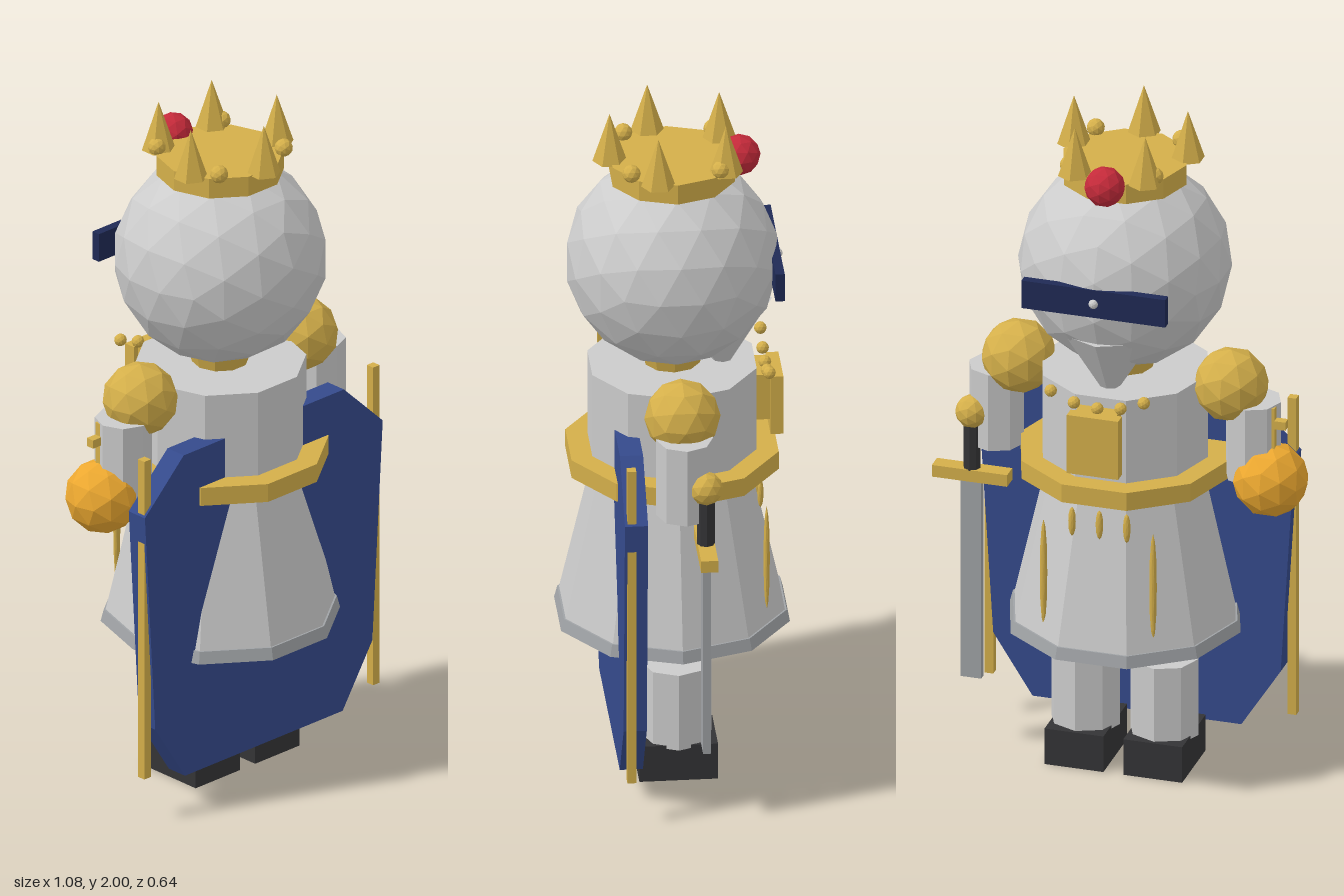
import * as THREE from 'three';

const mat = (color) => new THREE.MeshStandardMaterial({ color, flatShading: true });

export function createModel() {
  const model = new THREE.Group();
  const grey = mat(0xcccccc), gold = mat(0xd4af4a), blue = mat(0x354a8c), navy = mat(0x1f2a55);
  const dark = mat(0x343436), steel = mat(0xa0a3a6), red = mat(0xc42a3a), amber = mat(0xeca830);

  function add(name, geometry, material, x, y, z) {
    const mesh = new THREE.Mesh(geometry, material);
    mesh.name = name;
    mesh.position.set(x, y, z);
    model.add(mesh);
    return mesh;
  }
  const ball = (name, r, detail, m, x, y, z) =>
    add(name, new THREE.IcosahedronGeometry(r, detail), m, x, y, z);
  // box given by its size and centre
  const box = (name, w, h, d, m, x, y, z) => add(name, new THREE.BoxGeometry(w, h, d), m, x, y, z);
  // prism between two heights; ten-sided ones have a flat side facing front and back
  const prism = (name, rTop, rBottom, y0, y1, sides, m, x = 0, z = 0, turn = Math.PI / 10) => {
    const mesh = add(name, new THREE.CylinderGeometry(rTop, rBottom, y1 - y0, sides), m, x, (y0 + y1) / 2, z);
    mesh.rotation.y = turn;
    return mesh;
  };

  // Body
  prism('skirt', 0.22, 0.325, 0.46, 0.92, 10, grey);
  prism('hem', 0.328, 0.337, 0.435, 0.47, 10, steel);
  prism('belt', 0.305, 0.305, 0.91, 0.965, 10, gold);
  prism('torso', 0.242, 0.242, 0.95, 1.22, 10, grey);
  prism('collar', 0.09, 0.08, 1.22, 1.26, 10, gold);

  // Head
  ball('head', 0.3, 2, grey, 0, 1.54, 0);
  add('beard', new THREE.ConeGeometry(0.14, 0.23, 8), grey, 0, 1.285, -0.14).rotation.x = Math.PI;
  box('blindfold', 0.42, 0.085, 0.026, navy, 0, 1.54, -0.283);
  ball('blindfoldStud', 0.014, 1, grey, 0, 1.54, -0.296);

  // Crown
  prism('crownBand', 0.18, 0.18, 1.8, 1.86, 10, gold);
  for (let i = 0; i < 5; i++) {
    const a = (i / 5) * Math.PI * 2;
    add('crownSpike', new THREE.ConeGeometry(0.048, 0.145, 6), gold,
      0.175 * Math.sin(a), 1.928, 0.175 * Math.cos(a));
  }
  for (const x of [-0.125, 0.125])
    for (const z of [-0.125, 0.125]) ball('crownBead', 0.026, 1, gold, x, 1.875, z);
  ball('crownJewel', 0.058, 1, red, 0, 1.855, -0.19);

  // Mirrored limbs
  for (const s of [-1, 1]) {
    ball('shoulderPad', 0.107, 1, gold, s * 0.31, 1.2, 0);
    prism('arm', 0.08, 0.08, 0.93, 1.165, 8, grey, s * 0.375, 0, 0);
    prism('leg', 0.1, 0.1, 0.1, 0.335, 8, grey, s * 0.115, 0, 0);
    box('shoe', 0.172, 0.11, 0.22, dark, s * 0.115, 0.055, 0);
    box('capeTrim', 0.025, 0.98, 0.025, gold, s * 0.4425, 0.62, 0.155);
  }

  // Cape
  const half = [[0.31, 1.085], [0.46, 0.94], [0.42, 0.275], [0.305, 0.095]];
  const outline = [...half, ...half.map(([x, y]) => [-x, y]).reverse()];
  const shape = new THREE.Shape(outline.map(([x, y]) => new THREE.Vector2(x, y)));
  add('cape', new THREE.ExtrudeGeometry(shape, { depth: 0.065, bevelEnabled: false }), blue, 0, 0, 0.11);

  // Chest ornament and beads
  box('chestPlate', 0.15, 0.18, 0.036, gold, 0, 1.1, -0.287);
  box('chestPlateBacking', 0.12, 0.14, 0.06, gold, 0, 1.12, -0.245);
  for (let i = -2; i <= 2; i++)
    ball('chestBead', 0.018, 1, gold, i * 0.068, 1.2 + 0.009 * i * i, -0.26);

  // Skirt tassels: two long at the sides, three short between
  for (let i = -2; i <= 2; i++) {
    const long = Math.abs(i) === 2;
    const tassel = ball('tassel', 0.5, 1, gold, i * 0.08, long ? 0.665 : 0.83, long ? -0.25 : -0.24);
    tassel.scale.set(0.022, long ? 0.33 : 0.09, 0.018);
  }

  // Sword
  ball('swordPommel', 0.048, 1, gold, 0.43, 1.035, -0.055);
  prism('swordGrip', 0.025, 0.025, 0.86, 1.01, 8, dark, 0.43, -0.055, 0);
  box('swordGuard', 0.22, 0.036, 0.048, gold, 0.43, 0.845, -0.055);
  box('swordBlade', 0.06, 0.62, 0.022, steel, 0.43, 0.525, -0.055);

  // Orb with cross
  ball('orb', 0.108, 1, amber, -0.432, 0.935, -0.022);
  box('orbCrossPost', 0.025, 0.14, 0.025, gold, -0.435, 1.09, -0.025);
  box('orbCrossBar', 0.09, 0.025, 0.025, gold, -0.435, 1.11, -0.025);

  return model;
}
